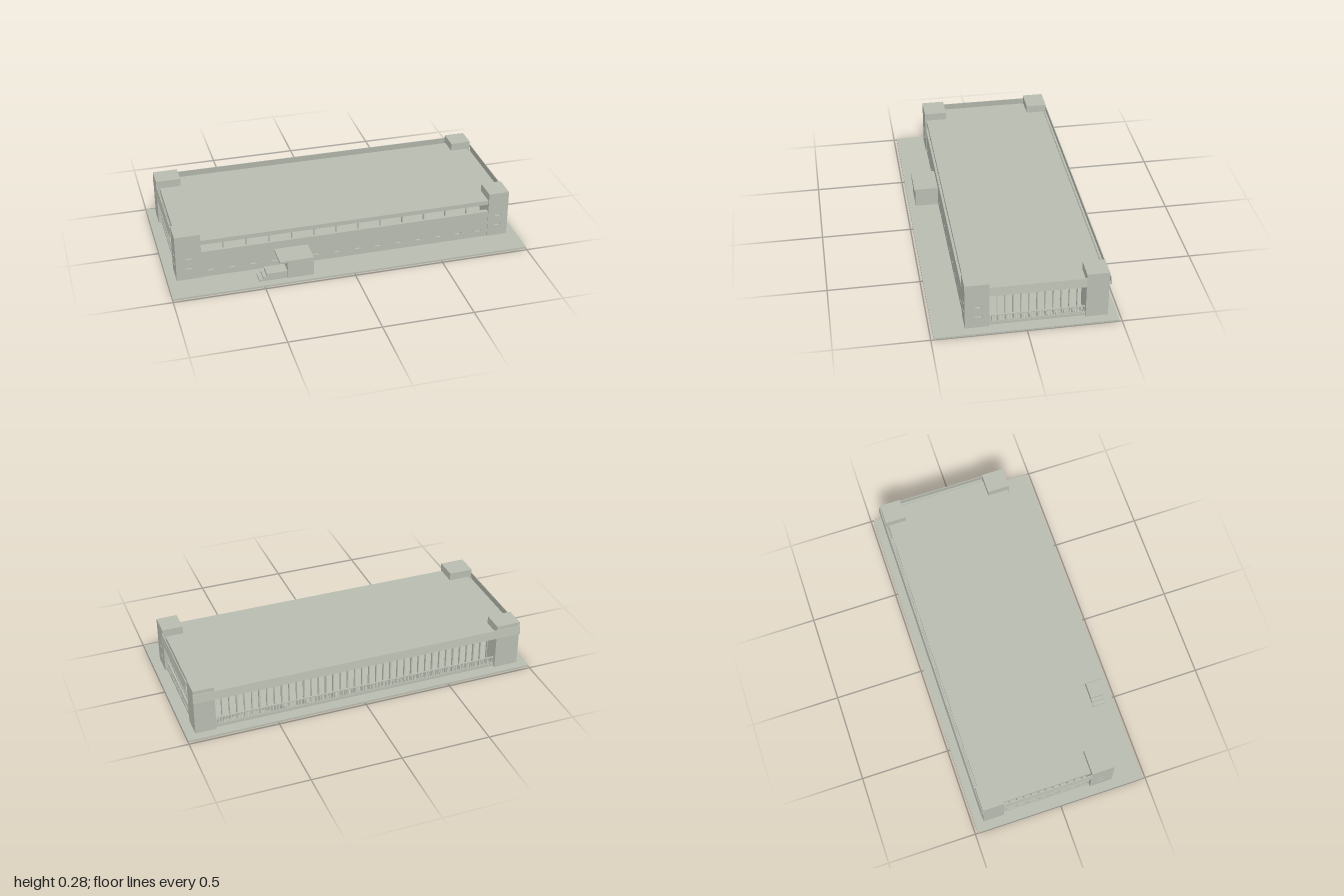
import * as THREE from 'three';

const stone = new THREE.MeshStandardMaterial({ color: 0xb8bcb0 });
stone.name = 'paleStone';

// Box given by its limits on each axis
function block(parent, name, x0, x1, y0, y1, z0, z1) {
  const m = new THREE.Mesh(new THREE.BoxGeometry(x1 - x0, y1 - y0, z1 - z0), stone);
  m.position.set((x0 + x1) / 2, (y0 + y1) / 2, (z0 + z1) / 2);
  m.name = name;
  parent.add(m);
  return m;
}

// Upright wall skin pierced by slit windows, facing +z; slits are [x, y] centres
function slitSkin(parent, name, x0, x1, y0, y1, depth, slits) {
  const s = new THREE.Shape();
  s.moveTo(x0, y0).lineTo(x1, y0).lineTo(x1, y1).lineTo(x0, y1).closePath();
  for (const [x, y] of slits) {
    const h = new THREE.Path();
    h.moveTo(x - 0.017, y - 0.006).lineTo(x - 0.017, y + 0.006)
      .lineTo(x + 0.017, y + 0.006).lineTo(x + 0.017, y - 0.006).closePath();
    s.holes.push(h);
  }
  const m = new THREE.Mesh(new THREE.ExtrudeGeometry(s, { depth, bevelEnabled: false }), stone);
  m.name = name;
  parent.add(m);
  return m;
}

// Leaning fascia with a foot, running along local x and leaning toward +z
function fascia(parent, name, length) {
  const p = [[0, 0.21], [0.016, 0.21], [0.009, 0.26], [0.005, 0.26], [0.011, 0.216], [0, 0.216]];
  const shape = new THREE.Shape(p.map(([a, b]) => new THREE.Vector2(a, b)));
  const g = new THREE.ExtrudeGeometry(shape, { depth: length, bevelEnabled: false });
  g.translate(0, 0, -length / 2).rotateY(-Math.PI / 2);
  const m = new THREE.Mesh(g, stone);
  m.name = name;
  parent.add(m);
  return m;
}

// Colonnade with sill and balustrade, from a to b along local x, outer face at z = 0
function colonnade(parent, name, a, b) {
  const g = new THREE.Group();
  g.name = name;
  block(g, 'sill', a, b, 0.01, 0.025, -0.03, 0);
  block(g, 'bottomRail', a, b, 0.025, 0.03, -0.009, -0.003);
  block(g, 'handRail', a, b, 0.064, 0.069, -0.01, -0.002);
  const bays = Math.round((b - a) / 0.0424);
  const step = (b - a) / bays;
  for (let i = 1; i < bays; i++) {
    const x = a + i * step;
    const w = i % 3 === 0 ? 0.0035 : 0.002;
    block(g, 'column', x - w, x + w, 0.025, 0.21, -0.024, -0.01);
  }
  const bars = bays * 5;
  for (let i = 0; i < bars; i++) {
    const x = a + (i + 0.5) * (b - a) / bars;
    block(g, 'baluster', x - 0.0015, x + 0.0015, 0.03, 0.064, -0.008, -0.004);
  }
  parent.add(g);
  return g;
}

export function createModel() {
  const model = new THREE.Group();
  model.name = 'pavilion';

  block(model, 'groundSlab', -1, 1, 0, 0.01, -0.485, 0.485);
  block(model, 'roof', -0.93, 0.93, 0.21, 0.235, -0.42, 0.307);

  // Corner towers
  for (const [x0, x1, side] of [[-0.95, -0.81, -1], [0.83, 0.947, 1]]) {
    block(model, 'backTower', x0, x1, 0.01, 0.28, -0.435, -0.316);
    const inX0 = side < 0 ? x0 + 0.01 : x0;
    const inX1 = side < 0 ? x1 : x1 - 0.01;
    block(model, 'frontTower', inX0, inX1, 0.01, 0.28, 0.188, 0.307);
    const cx = (x0 + x1) / 2;
    const front = slitSkin(model, 'frontTowerFace', x0, x1, 0.01, 0.28, 0.01,
      [[cx, 0.08], [cx, 0.14]]);
    front.position.z = 0.307;
    const flank = slitSkin(model, 'frontTowerFlank', -0.0595, 0.0595, 0.01, 0.28, 0.01,
      [[0, 0.08], [0, 0.14]]);
    flank.rotation.y = side * Math.PI / 2;
    flank.position.set(side < 0 ? x0 + 0.01 : x1 - 0.01, 0, 0.2475);
  }

  // Front wall with a row of slit windows
  block(model, 'frontWall', -0.81, 0.83, 0.01, 0.168, 0.285, 0.303);
  const slits = [];
  for (let i = 0; i < 14; i++) slits.push([-0.76 + i * 0.118, 0.052]);
  slitSkin(model, 'frontWallFace', -0.81, 0.83, 0.01, 0.168, 0.01, slits).position.z = 0.303;

  // Clerestory mullions
  for (let i = 1; i < 13; i++) {
    const x = -0.81 + i * 1.64 / 13;
    block(model, 'clerestoryMullion', x - 0.003, x + 0.003, 0.168, 0.21, 0.29, 0.302);
  }

  // Colonnades on the back and both ends
  const back = colonnade(model, 'backColonnade', -0.83, 0.81);
  back.rotation.y = Math.PI;
  back.position.z = -0.42;
  for (const s of [-1, 1]) {
    const end = colonnade(model, 'endColonnade', -0.252, 0.252);
    end.rotation.y = s * Math.PI / 2;
    end.position.set(s * 0.935, 0, -0.064);
    const f = fascia(model, 'endFascia', 0.507);
    f.rotation.y = s * Math.PI / 2;
    f.position.set(s * 0.942, 0, -0.064);
  }
  const bf = fascia(model, 'backFascia', 1.9);
  bf.rotation.y = Math.PI;
  bf.position.z = -0.432;

  // Entrance porch with overhanging canopy and side steps
  block(model, 'porch', -0.365, -0.22, 0.01, 0.11, 0.313, 0.445);
  block(model, 'canopy', -0.408, -0.22, 0.11, 0.122, 0.313, 0.45);
  block(model, 'landing', -0.48, -0.365, 0.01, 0.053, 0.365, 0.44);
  block(model, 'middleStep', -0.5, -0.48, 0.01, 0.036, 0.365, 0.44);
  block(model, 'lowerStep', -0.522, -0.5, 0.01, 0.022, 0.365, 0.44);

  return model;
}
